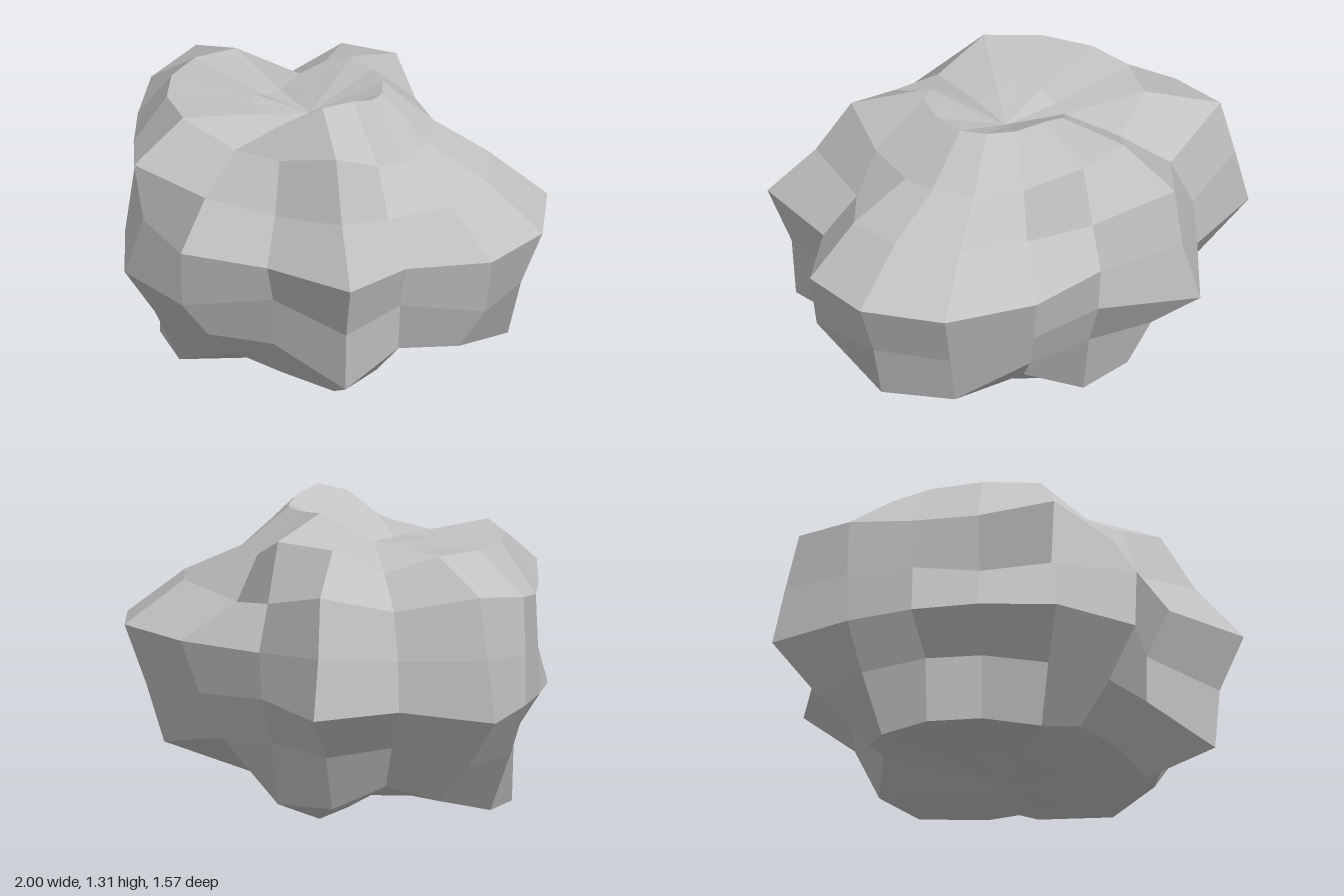
import * as THREE from 'three';

// Horizontal spread of each ring, top to bottom; 16 columns from +x towards +z.
const RINGS = [
  [.345, .36, .345, .30, .255, .27, .27, .27, .25, .25, .28, .31, .337, .333, .333, .333],
  [.51, .575, .70, .61, .58, .67, .65, .635, .63, .62, .52, .65, .67, .56, .56, .54],
  [.775, .66, .86, .70, .81, .93, .80, .79, .87, .955, .75, .93, .75, .67, .81, .81],
  [1, .81, 1.08, .86, 1, .88, .74, .80, .88, 1.02, .85, .97, .82, .97, 1.08, 1.07],
  [.965, .76, .97, .74, .99, .98, .84, .81, .88, 1.08, .87, 1.07, .80, .87, .98, .97],
  [.82, .745, .95, .74, .79, .82, .68, .69, .80, .86, .70, .80, .72, .75, .90, .91],
  [.47, .57, .64, .59, .57, .69, .68, .68, .69, .63, .56, .67, .67, .56, .51, .49],
  [.30, .325, .31, .30, .30, .30, .29, .29, .29, .28, .28, .31, .34, .325, .31, .30],
];
const COLUMNS = 16, ROWS = 9;
const CENTRE_Y = 0.63, HEIGHT = 0.68, DEPTH = 0.79;
const TOP_Y = 1.1, BOTTOM_Y = 0.06;

// Gives both triangles of every four-sided facet one shared normal.
function facet(geometry) {
  const faceted = geometry.toNonIndexed();
  faceted.computeVertexNormals();
  const { position, normal } = faceted.attributes;
  const corner = (i) => new THREE.Vector3().fromBufferAttribute(position, i);
  const cap = COLUMNS * 3;
  for (let q = cap; q < position.count - cap; q += 6) {
    const across = corner(q + 4).sub(corner(q));
    const n = across.cross(corner(q + 2).sub(corner(q + 1))).normalize();
    for (let k = 0; k < 6; k++) normal.setXYZ(q + k, n.x, n.y, n.z);
  }
  return faceted;
}

// Lumpy boulder: a squashed sphere whose vertices slide along their own rays.
function boulderGeometry() {
  const geometry = new THREE.SphereGeometry(1, COLUMNS, ROWS);
  const position = geometry.attributes.position;
  for (let row = 0; row <= ROWS; row++) {
    for (let i = 0; i <= COLUMNS; i++) {
      const index = row * (COLUMNS + 1) + i;
      if (row === 0 || row === ROWS) {
        position.setXYZ(index, 0, row === 0 ? TOP_Y : BOTTOM_Y, 0);
        continue;
      }
      const column = (COLUMNS / 2 - i + COLUMNS) % COLUMNS;
      const angle = column / COLUMNS * Math.PI * 2;
      const spread = RINGS[row - 1][column];
      const slope = HEIGHT / Math.tan(row / ROWS * Math.PI);
      position.setXYZ(index,
        spread * Math.cos(angle),
        CENTRE_Y + spread * slope,
        spread * DEPTH * Math.sin(angle));
    }
  }
  return facet(geometry);
}

export function createModel() {
  const stone = new THREE.MeshStandardMaterial({ color: 0xc2c2c2 });
  stone.name = 'stone grey';

  const boulder = new THREE.Mesh(boulderGeometry(), stone);
  boulder.name = 'boulder';

  const model = new THREE.Group();
  model.name = 'rock';
  model.add(boulder);
  return model;
}
